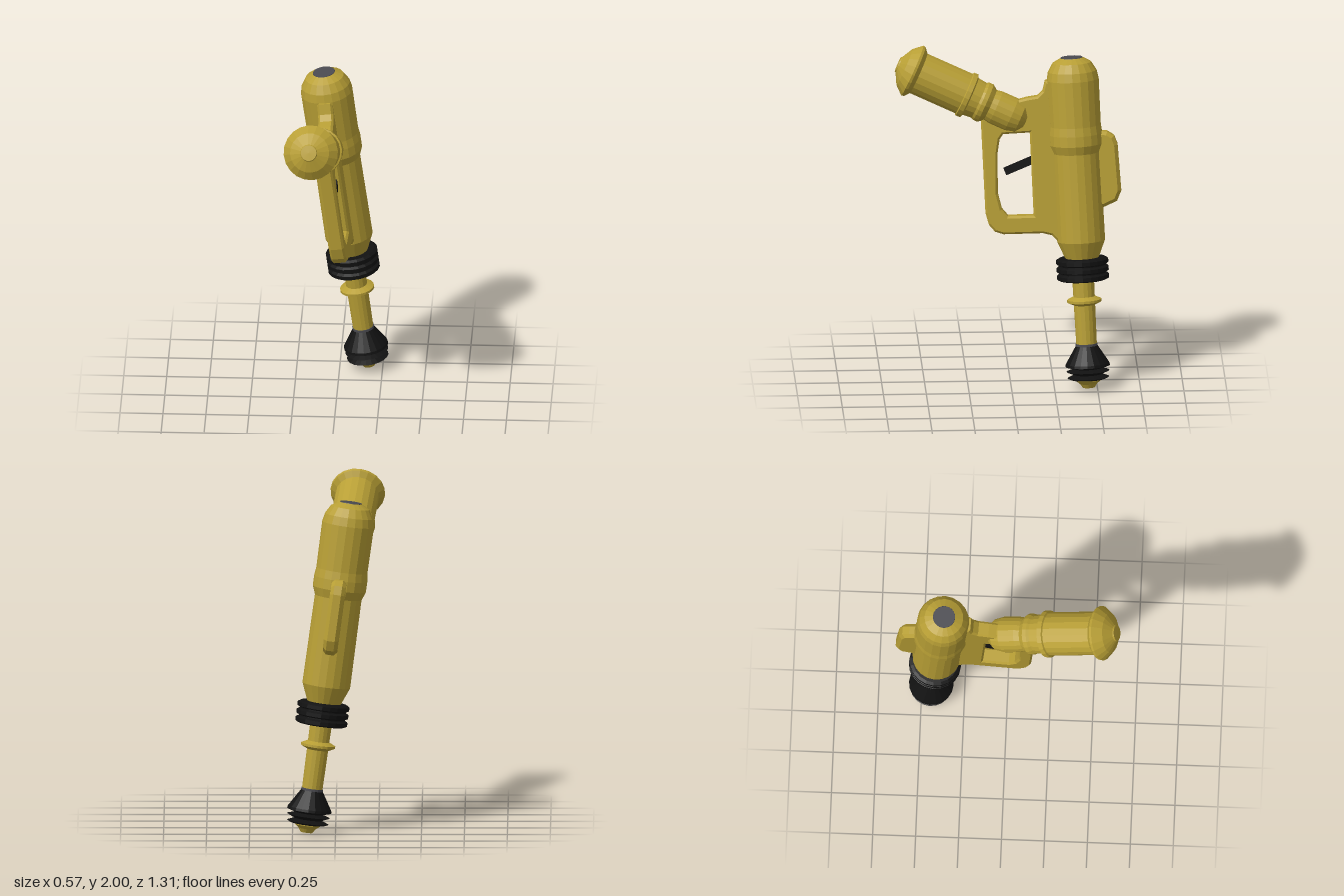
import * as THREE from 'three';

const yellow = new THREE.MeshStandardMaterial({ color: 0xb89f35 });
yellow.name = 'mustard yellow';
const black = new THREE.MeshStandardMaterial({ color: 0x111111 });
black.name = 'rubber black';
const grey = new THREE.MeshStandardMaterial({ color: 0x4a4a50 });
grey.name = 'dark grey';

// The whole tool leans: its long axis starts at BASE and runs along UP.
const BASE = new THREE.Vector3(0.17, 0.005, -0.45);
const UP = new THREE.Vector3(-0.26, 1.93, 0.09).normalize();
const FORWARD = new THREE.Vector3(-0.05, 0, 1).addScaledVector(UP, -new THREE.Vector3(-0.05, 0, 1).dot(UP)).normalize();
const SIDE = new THREE.Vector3().crossVectors(UP, FORWARD);

// Side-on point (z, y) turned into the tool's own plane (forward, along axis)
function inPlane(z, y) {
  const dz = z - BASE.z, dy = y - BASE.y;
  const det = FORWARD.z * UP.y - UP.z * FORWARD.y;
  return new THREE.Vector2((dz * UP.y - dy * UP.z) / det, (dy * FORWARD.z - dz * FORWARD.y) / det);
}

// Faceted mesh
function part(name, geometry, material) {
  const g = geometry.index ? geometry.toNonIndexed() : geometry;
  g.computeVertexNormals();
  const mesh = new THREE.Mesh(g, material);
  mesh.name = name;
  return mesh;
}

// Turned part from [radius, height] pairs, bottom to top
function turned(name, profile, material, sides = 20) {
  return part(name, new THREE.LatheGeometry(profile.map(([r, t]) => new THREE.Vector2(r, t)), sides), material);
}

// Flat plate with chamfered edges, centred on the tool's middle plane
function plate(name, outline, hole, thickness, bevel) {
  const shape = new THREE.Shape(outline.map(([z, y]) => inPlane(z, y)));
  if (hole) shape.holes.push(new THREE.Path(hole.map(([z, y]) => inPlane(z, y))));
  const depth = thickness - 2 * bevel;
  const g = new THREE.ExtrudeGeometry(shape, {
    depth, bevelEnabled: true, bevelThickness: bevel, bevelSize: bevel, bevelOffset: -bevel, bevelSegments: 1,
  });
  g.translate(0, 0, -depth / 2).rotateY(-Math.PI / 2);
  return part(name, g, yellow);
}

export function createModel() {
  const model = new THREE.Group();
  model.name = 'handheldTool';
  const tool = new THREE.Group();
  tool.name = 'leaningBody';
  tool.matrix.makeBasis(SIDE, UP, FORWARD).setPosition(BASE);
  tool.matrix.decompose(tool.position, tool.quaternion, tool.scale);
  model.add(tool);

  // Nozzle and its rubber skirt
  tool.add(turned('nozzleTip', [[0, 0], [0.035, 0.002], [0.05, 0.025], [0.075, 0.045], [0.075, 0.07], [0, 0.075]], yellow));
  tool.add(turned('nozzleSkirt', [
    [0, 0.05], [0.1, 0.052], [0.122, 0.062], [0.08, 0.08], [0.126, 0.1], [0.08, 0.115],
    [0.13, 0.13], [0.127, 0.145], [0.063, 0.25], [0.06, 0.252],
  ], black));
  tool.add(turned('skirtCollar', [[0.064, 0.248], [0.064, 0.262], [0, 0.262]], grey));

  // Shaft with a sharp ring
  tool.add(turned('shaft', [[0.06, 0.25], [0.064, 0.7]], yellow, 16));
  tool.add(turned('shaftRing', [[0.062, 0.49], [0.1, 0.508], [0.1, 0.522], [0.062, 0.54]], yellow));

  // Ribbed rubber bellows
  const bellows = [[0.06, 0.637]];
  for (let i = 0; i < 3; i++) {
    const t = 0.638 + i * 0.045;
    bellows.push([0.135, t], [0.152, t + 0.008], [0.152, t + 0.03], [0.135, t + 0.04]);
  }
  bellows.push([0.06, 0.772]);
  tool.add(turned('bellows', bellows, black));

  // Tank with a swollen band and domed top
  tool.add(turned('tank', [
    [0, 0.755], [0.095, 0.76], [0.14, 0.87], [0.137, 1.39], [0.156, 1.44], [0.156, 1.5], [0.15, 1.55],
    [0.152, 1.82], [0.142, 1.87], [0.113, 1.92], [0.065, 1.947],
  ], yellow));
  tool.add(turned('tankCap', [[0.066, 1.945], [0.064, 1.95], [0, 1.95]], grey));

  // Grip frame with a finger opening
  tool.add(plate('gripFrame', [
    [0.17, 1.6], [0.145, 1.03], [0.125, 0.96], [0.09, 0.92], [0.04, 0.905], [-0.19, 0.912], [-0.24, 0.9],
    [-0.28, 0.86], [-0.36, 0.9], [-0.32, 1.8], [-0.205, 1.8], [-0.19, 1.74], [-0.16, 1.71], [-0.1, 1.7], [0.05, 1.66],
  ], [
    [0.04, 1.49], [-0.115, 1.5], [-0.135, 1.015], [0.015, 1.01], [0.05, 1.05], [0.073, 1.14], [0.072, 1.38], [0.06, 1.46],
  ], 0.09, 0.012));

  // Rear fin
  tool.add(plate('rearFin', [
    [-0.45, 1.51], [-0.565, 1.505], [-0.605, 1.48], [-0.625, 1.43], [-0.645, 1.16], [-0.62, 1.1], [-0.545, 1.065], [-0.45, 1.07],
  ], null, 0.085, 0.02));

  // Trigger bar
  const a = inPlane(0.03, 1.267), b = inPlane(-0.14, 1.34);
  const trigger = part('trigger', new THREE.BoxGeometry(0.045, 0.042, a.distanceTo(b)), black);
  trigger.position.set(0, (a.y + b.y) / 2, (a.x + b.x) / 2);
  trigger.rotation.x = -Math.atan2(a.y - b.y, a.x - b.x);
  tool.add(trigger);

  // Barrel: domed rear, two raised rings, flared rim and blunt cone; zero height is the rim
  const barrel = turned('barrel', [
    [0, -0.735], [0.055, -0.72], [0.09, -0.685], [0.104, -0.63], [0.104, -0.53], [0.098, -0.495], [0.12, -0.465],
    [0.12, -0.44], [0.112, -0.425], [0.118, -0.37], [0.137, -0.362], [0.137, -0.335], [0.127, -0.33], [0.127, -0.04],
    [0.157, -0.015], [0.16, 0], [0.115, 0.05], [0.05, 0.085], [0.046, 0.092], [0, 0.094],
  ], yellow);
  const rim = inPlane(0.565, 1.855), back = inPlane(-0.01, 1.598);
  barrel.position.set(0, rim.y, rim.x);
  barrel.rotation.x = Math.atan2(rim.x - back.x, rim.y - back.y);
  tool.add(barrel);

  return model;
}
